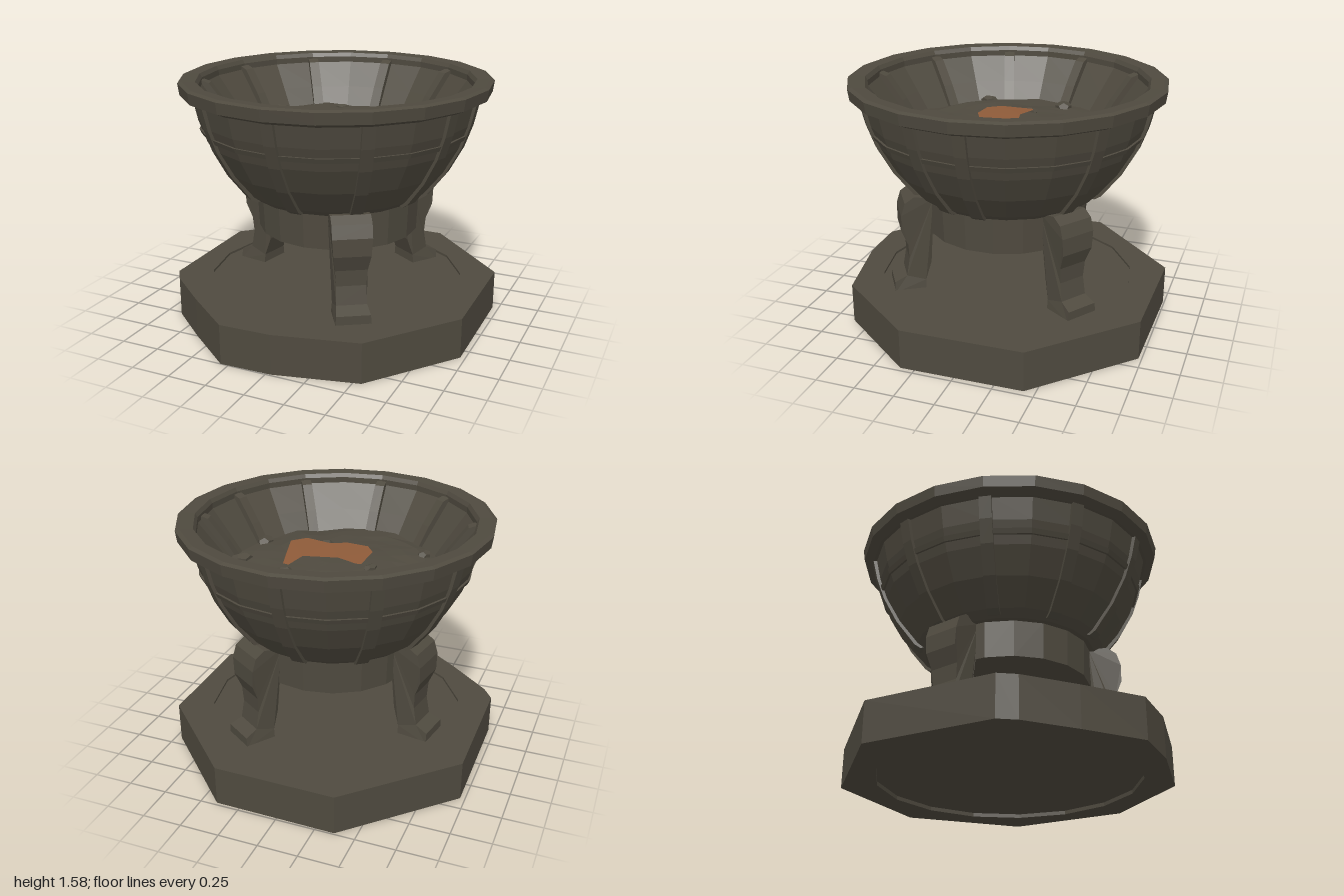
import * as THREE from 'three';

const stone = new THREE.MeshStandardMaterial({ color: 0x4f4a3f, flatShading: true });
stone.name = 'darkStone';
const ember = new THREE.MeshStandardMaterial({ color: 0x8f5b39, flatShading: true });
ember.name = 'emberOrange';

const rad = THREE.MathUtils.degToRad;
const v2 = (pts) => pts.map(([a, b]) => new THREE.Vector2(a, b));

function add(parent, name, geometry, material = stone) {
  const mesh = new THREE.Mesh(geometry, material);
  mesh.name = name;
  parent.add(mesh);
  return mesh;
}

// Extrudes a (radius, height) outline into a slab of the given width, centred on its plane.
function radialSlab(outline, width) {
  const g = new THREE.ExtrudeGeometry(new THREE.Shape(v2(outline)), { depth: width, bevelEnabled: false });
  return g.translate(0, 0, -width / 2);
}

// Height of the ash mound, lumpy but repeatable.
function ashHeight(x, z) {
  const r = Math.hypot(x, z);
  const lumps = 0.012 * Math.sin(9 * x + 2) * Math.cos(8 * z + 1) + 0.006 * Math.sin(17 * x - 13 * z);
  return 1.305 - 0.13 * r * r + lumps * Math.min(1, r * 2);
}

function createBase() {
  const base = new THREE.Group();
  base.name = 'base';
  const corners = [[-0.37, -0.99], [0.4, -0.98], [0.96, -0.43], [0.97, 0.34], [0.55, 0.87],
    [0.03, 0.99], [-0.3, 1], [-0.62, 0.75], [-0.89, 0.52], [-0.96, 0.42], [-0.97, -0.4]];
  const slab = new THREE.Shape(v2(corners.map(([x, z]) => [x, -z])));
  const hole = new THREE.Path();
  for (let i = 0; i < 16; i++) {
    const a = (i / 16) * Math.PI * 2;
    const x = Math.cos(a) * 0.82, y = Math.sin(a) * 0.82;
    if (i === 0) hole.moveTo(x, y); else hole.lineTo(x, y);
  }
  hole.closePath();
  slab.holes.push(hole);
  const rim = new THREE.ExtrudeGeometry(slab, { depth: 0.255, bevelEnabled: false });
  add(base, 'baseSlab', rim.rotateX(-Math.PI / 2).translate(0, 0.005, 0));
  // Shallow recess above and below
  add(base, 'recessedFloor', new THREE.CylinderGeometry(0.84, 0.84, 0.215, 16).translate(0, 0.1375, 0));
  return base;
}

function createLeg(angle, reach) {
  const outline = [[0.46, 0.86], [0.47, 0.62], [0.48, 0.42], [0.52, 0.3], [0.52, 0.23], [0.72, 0.23],
    [0.72, 0.3], [0.64, 0.335], [0.62, 0.45], [0.625, 0.55], [0.665, 0.65], [0.665, 0.76], [0.64, 0.84], [0.58, 0.88]];
  const g = radialSlab(outline, 1);
  // Broad shoulder, narrow shin, slightly wider foot
  const p = g.attributes.position;
  for (let i = 0; i < p.count; i++) {
    const y = p.getY(i);
    const shoulder = THREE.MathUtils.smoothstep(y, 0.45, 0.75);
    const foot = 1 - THREE.MathUtils.smoothstep(y, 0.26, 0.36);
    p.setZ(i, p.getZ(i) * (0.18 + 0.06 * shoulder + 0.04 * foot));
  }
  g.translate(reach, 0, 0).computeVertexNormals();
  const leg = new THREE.Mesh(g, stone);
  leg.name = 'leg';
  leg.rotation.y = -angle;
  return leg;
}

function createBowl() {
  const bowl = new THREE.Group();
  bowl.name = 'bowl';
  // Hollow shell, outside then inside
  add(bowl, 'bowlShell', new THREE.LatheGeometry(v2([[0, 0.85], [0.54, 0.85], [0.595, 0.89], [0.715, 1.04],
    [0.805, 1.2], [0.855, 1.34], [0.89, 1.5], [0.855, 1.52], [0.735, 1.36], [0.625, 1.21]]), 20));
  add(bowl, 'rim', new THREE.LatheGeometry(v2([[0.85, 1.48], [0.905, 1.475], [0.96, 1.5], [0.97, 1.57],
    [0.945, 1.58], [0.865, 1.575], [0.85, 1.55], [0.85, 1.48]]), 20));
  add(bowl, 'middleBand', new THREE.LatheGeometry(v2([[0.78, 1.255], [0.837, 1.255], [0.85, 1.285],
    [0.8, 1.285], [0.78, 1.255]]), 20));

  // Ten ribs, showing on both faces of the shell; one outer rib sits off the even spacing
  const outer = radialSlab([[0.53, 0.87], [0.57, 0.855], [0.61, 0.88], [0.73, 1.035], [0.82, 1.2],
    [0.87, 1.34], [0.905, 1.49], [0.86, 1.49], [0.76, 1.2], [0.66, 1.04]], 0.075);
  const inner = radialSlab([[0.87, 1.545], [0.8, 1.52], [0.69, 1.37], [0.585, 1.2], [0.65, 1.2], [0.76, 1.36]], 0.065);
  for (let i = 0; i < 10; i++) {
    const a = 90 + i * 36;
    add(bowl, 'outerRib', outer).rotation.y = -rad(a === 342 ? 358 : a);
    add(bowl, 'innerRib', inner).rotation.y = -rad(a === 342 ? 348 : a);
  }
  bowl.scale.z = 1.02;
  return bowl;
}

function createAsh() {
  const ash = new THREE.Group();
  ash.name = 'ashAndEmbers';
  // Uneven ash mound
  const g = new THREE.RingGeometry(0.001, 0.67, 24, 6).rotateX(-Math.PI / 2);
  const p = g.attributes.position;
  for (let i = 0; i < p.count; i++) p.setY(i, ashHeight(p.getX(i), p.getZ(i)));
  g.computeVertexNormals();
  add(ash, 'ashMound', g);

  // Two glowing patches lying on the ash
  const patches = [
    [[-0.2, -0.1], [-0.17, -0.11], [-0.04, -0.07], [0.1, 0.15], [0, 0.2], [-0.14, 0.19], [-0.2, 0.11]],
    [[-0.04, -0.07], [0.18, -0.11], [0.21, -0.26], [0.25, -0.25], [0.29, -0.12], [0.36, 0.12], [0.28, 0.2], [0.1, 0.15]],
  ];
  for (const pts of patches) {
    const patch = new THREE.ShapeGeometry(new THREE.Shape(v2(pts.map(([x, z]) => [x, -z])))).rotateX(-Math.PI / 2);
    const q = patch.attributes.position;
    for (let i = 0; i < q.count; i++) q.setY(i, 1.335 - 0.04 * Math.hypot(q.getX(i), q.getZ(i)));
    patch.computeVertexNormals();
    add(ash, 'emberPatch', patch, ember);
  }

  // Broken crust pieces around the embers: x, z, turn, size
  const chunks = [[0.22, -0.3, 0.5, 0.06], [-0.25, -0.07, 1.2, 0.05], [-0.5, -0.22, 0.3, 0.08], [0.35, 0.18, 2, 0.05],
    [0.58, -0.15, 1, 0.08], [-0.15, -0.43, 0.2, 0.05], [0.15, 0.21, 0.4, 0.05], [-0.48, 0.3, 1.5, 0.06], [0.58, 0.2, 1.8, 0.08]];
  for (const [x, z, turn, size] of chunks) {
    const chunk = add(ash, 'crustChunk', new THREE.DodecahedronGeometry(size, 0));
    chunk.scale.set(1, 0.5, 0.7);
    chunk.position.set(x, ashHeight(x, z), z);
    chunk.rotation.y = turn;
  }
  return ash;
}

export function createModel() {
  const model = new THREE.Group();
  model.name = 'fireBowl';
  model.add(createBase());

  // Collar under the bowl, carried by three legs
  add(model, 'collar', new THREE.CylinderGeometry(0.52, 0.51, 0.235, 18).translate(0.015, 0.7375, 0));
  for (const [degrees, reach] of [[58, 0.04], [-56, 0.03], [190, 0]]) model.add(createLeg(rad(degrees), reach));

  model.add(createBowl(), createAsh());
  return model;
}
